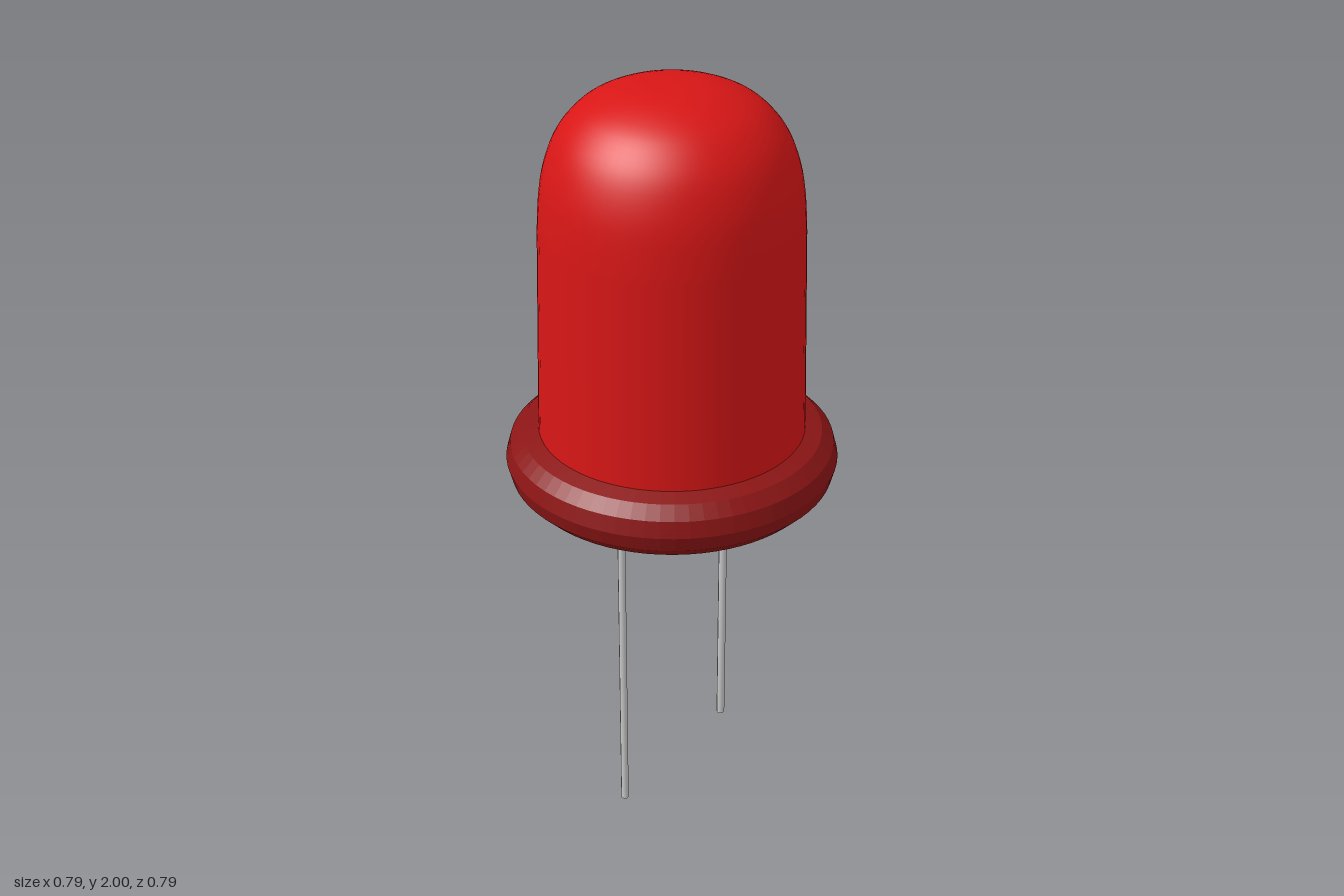
import * as THREE from 'three';

export function createModel() {
  const model = new THREE.Group();
  const lensRed = new THREE.MeshStandardMaterial({ color: 0xd81616 });
  const rimRed = new THREE.MeshStandardMaterial({ color: 0x8c1515, flatShading: true });
  const metal = new THREE.MeshStandardMaterial({ color: 0xcccccc });

  const add = (name, geometry, material, x, y) => {
    const mesh = new THREE.Mesh(geometry, material);
    mesh.name = name;
    mesh.position.set(x, y, 0);
    model.add(mesh);
    return mesh;
  };

  // Lens: slightly tapered wall that rounds over into a dome
  const baseY = 1.07;
  const dome = new THREE.SplineCurve([
    [0.303, 1.66], [0.297, 1.75], [0.285, 1.815], [0.263, 1.875], [0.232, 1.92],
    [0.19, 1.957], [0.13, 1.984], [0.07, 1.997], [0, 2],
  ].map(([r, y]) => new THREE.Vector2(r, y))).getPoints(24);
  dome[dome.length - 1].x = 0;
  const profile = [new THREE.Vector2(0.317, baseY), ...dome];
  add('lens', new THREE.LatheGeometry(profile, 64), lensRed, 0, 0);

  // Flat underside of the lens, seen through the rim
  add('lensBase', new THREE.CircleGeometry(0.317, 64), lensRed, 0, baseY).rotation.x = Math.PI / 2;

  // Thick rounded rim around the base
  const rim = new THREE.TorusGeometry(0.316, 0.077, 12, 72);
  add('rim', rim, rimRed, 0, 1.083).rotation.x = Math.PI / 2;

  // Long and short wire legs
  for (const [name, x, bottom] of [['longLeg', -0.128, 0], ['shortLeg', 0.127, 0.33]]) {
    const height = baseY + 0.01 - bottom;
    add(name, new THREE.CylinderGeometry(0.01, 0.01, height, 8), metal, x, bottom + height / 2);
  }

  return model;
}
